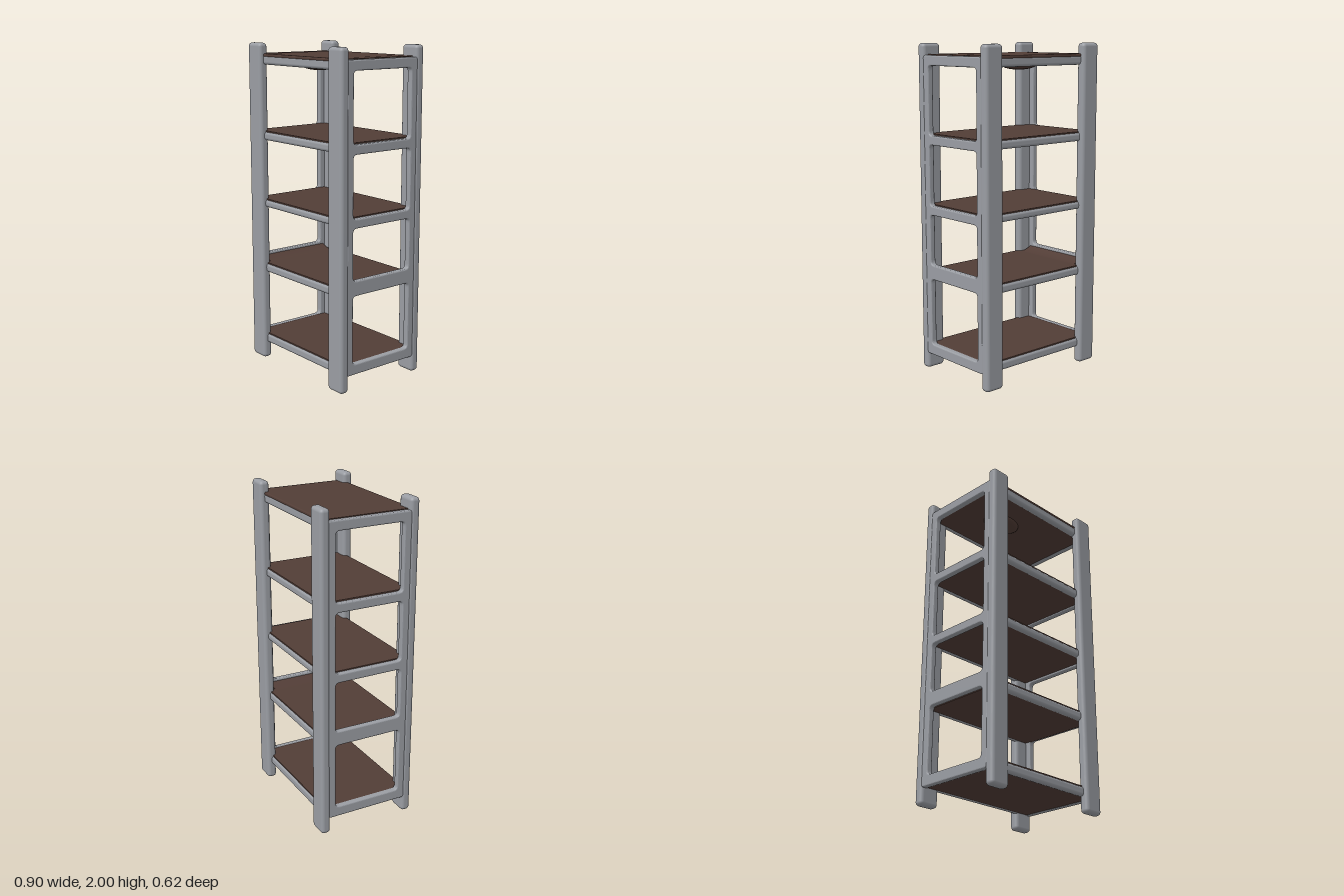
import * as THREE from 'three';
import { RoundedBoxGeometry } from 'three/addons/geometries/RoundedBoxGeometry.js';

export function createModel() {
  const root = new THREE.Group();
  root.name = 'shelvingUnit';
  const metal = new THREE.MeshStandardMaterial({ color: 0x9a9da3 });
  metal.name = 'greyMetal';
  const wood = new THREE.MeshStandardMaterial({ color: 0x523d36 });
  wood.name = 'brownShelf';

  function add(name, geometry, material, x = 0, y = 0, z = 0) {
    const mesh = new THREE.Mesh(geometry, material);
    mesh.name = name;
    mesh.position.set(x, y, z);
    root.add(mesh);
    return mesh;
  }
  const rounded = (w, h, d, r) => new RoundedBoxGeometry(w, h, d, 3, r);

  // Corner posts, flat and softly rounded
  for (const sx of [-1, 1]) for (const sz of [-1, 1]) {
    add('cornerPost', rounded(0.128, 2, 0.06, 0.022), metal, sx * 0.385, 1, sz * 0.282);
  }

  // Side frames: one plate with four rounded openings
  function roundedRect(path, w, y0, y1, r) {
    path.moveTo(-w + r, y0);
    path.lineTo(w - r, y0);
    path.quadraticCurveTo(w, y0, w, y0 + r);
    path.lineTo(w, y1 - r);
    path.quadraticCurveTo(w, y1, w - r, y1);
    path.lineTo(-w + r, y1);
    path.quadraticCurveTo(-w, y1, -w, y1 - r);
    path.lineTo(-w, y0 + r);
    path.quadraticCurveTo(-w, y0, -w + r, y0);
    return path;
  }
  const side = roundedRect(new THREE.Shape(), 0.257, 0.108, 1.922, 0.01);
  for (const [y0, y1] of [[0.157, 0.588], [0.662, 0.988], [1.027, 1.412], [1.452, 1.878]]) {
    side.holes.push(roundedRect(new THREE.Path(), 0.225, y0, y1, 0.035));
  }
  const sideGeometry = new THREE.ExtrudeGeometry(side, {
    depth: 0.022, bevelEnabled: true, bevelThickness: 0.008, bevelSize: 0.008,
    bevelSegments: 3, curveSegments: 6,
  });
  sideGeometry.translate(0, 0, -0.011).rotateY(Math.PI / 2);
  for (const sx of [-1, 1]) add('sideFrame', sideGeometry, metal, sx * 0.426, 0, 0);

  // Shelf boards with a rail along the front and back
  const levels = [[0.1, 0.163], [0.57, 0.63], [0.99, 1.042], [1.41, 1.468], [1.87, 1.935]];
  for (const [low, high] of levels) {
    const h = high - low, mid = (low + high) / 2;
    for (const sz of [-1, 1]) {
      add('shelfRail', rounded(0.72, h - 0.006, 0.04, 0.018), metal, 0, mid - 0.003, sz * 0.265);
    }
    add('shelfBoard', new THREE.BoxGeometry(0.83, h - 0.008, 0.53), wood, 0, mid, 0);
    add('shelfTop', new THREE.BoxGeometry(0.83, 0.008, 0.55), wood, 0, high - 0.004, 0);
  }
  // Slightly thicker brown edge on the top board
  add('topBoardEdge', rounded(0.68, 0.02, 0.57, 0.008), wood, 0, 1.926, 0);

  // Upturned ends of the second board
  const lip = new THREE.Shape();
  lip.moveTo(0.33, 0.625);
  lip.lineTo(0.42, 0.625);
  lip.lineTo(0.425, 0.668);
  lip.quadraticCurveTo(0.38, 0.635, 0.33, 0.63);
  const lipGeometry = new THREE.ExtrudeGeometry(lip, { depth: 0.48, bevelEnabled: false });
  lipGeometry.translate(0, 0, -0.24);
  add('leftBoardLip', lipGeometry, wood);
  add('rightBoardLip', lipGeometry, wood).rotation.y = Math.PI;

  // Shallow bulge beneath the top board
  const bulge = add('topBoardBulge', new THREE.SphereGeometry(1, 24, 12), wood, -0.11, 1.872, 0.03);
  bulge.scale.set(0.13, 0.034, 0.09);

  return root;
}
